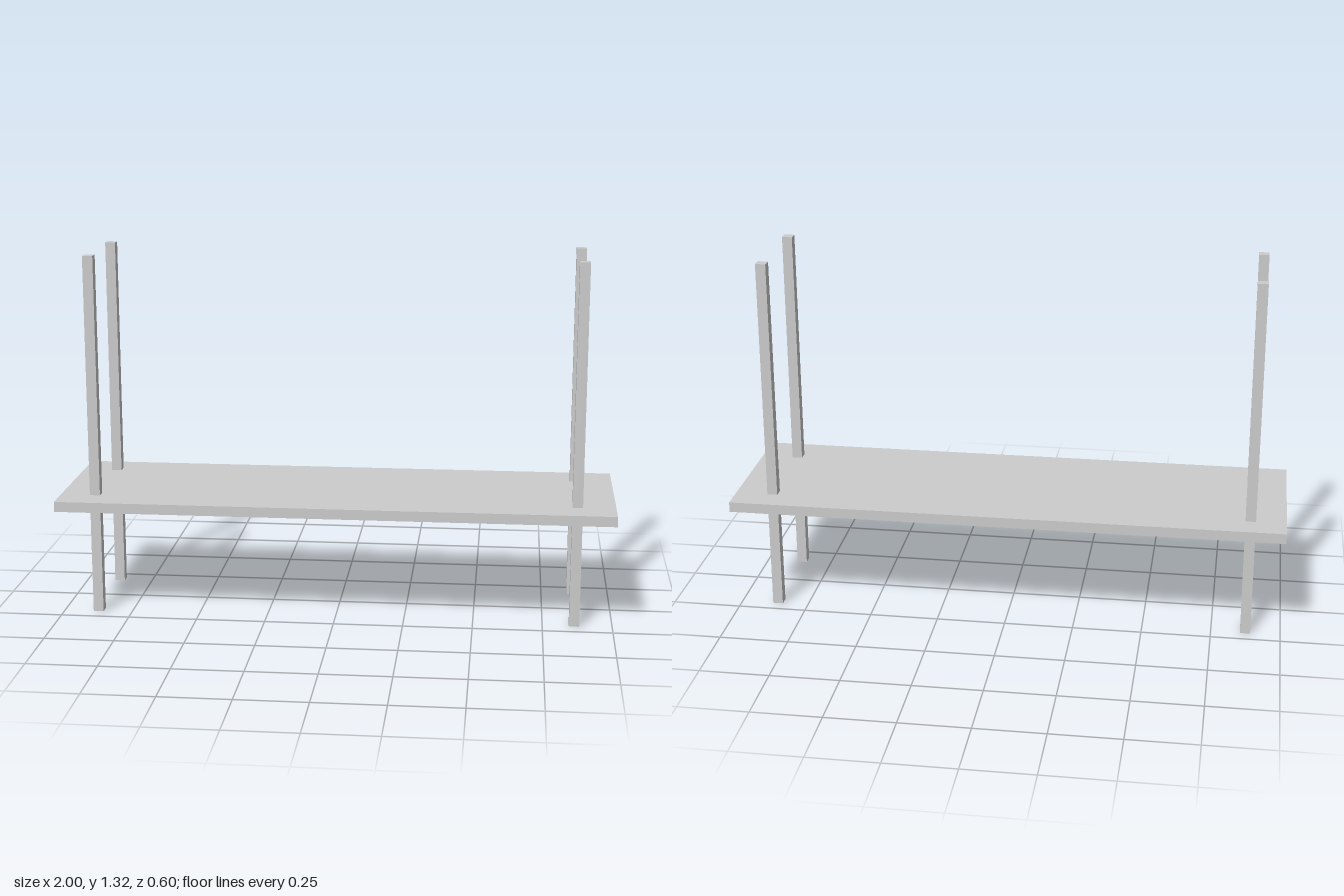
import * as THREE from 'three';

export function createModel() {
  const model = new THREE.Group();
  const material = new THREE.MeshStandardMaterial({ color: 0xcccccc, flatShading: true });

  function addBox(name, size, position) {
    const mesh = new THREE.Mesh(new THREE.BoxGeometry(...size), material);
    mesh.name = name;
    mesh.position.set(...position);
    model.add(mesh);
  }

  // Flat board
  addBox('shelf', [2, 0.037, 0.595], [0, 0.424, 0]);

  // Four square posts passing through the board, set slightly off centre
  const post = 0.037, height = 1.315;
  for (const [side, x] of [['Right', -0.874], ['Left', 0.864]]) {
    for (const [end, z] of [['front', 0.177], ['back', -0.187]]) {
      addBox(`${end}${side}Post`, [post, height, post], [x, height / 2, z]);
    }
  }

  return model;
}
